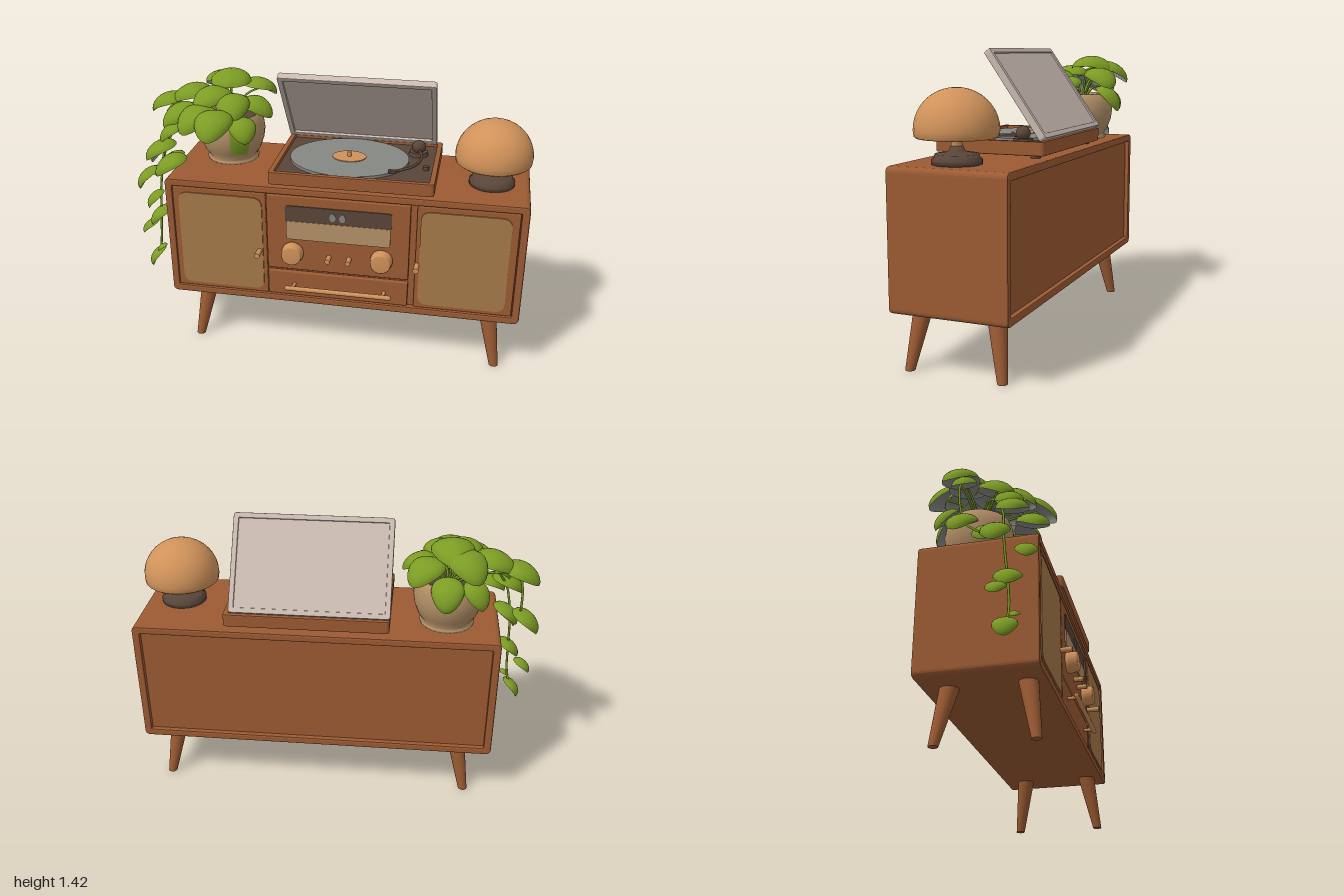
import * as THREE from 'three';
import { RoundedBoxGeometry } from 'three/addons/geometries/RoundedBoxGeometry.js';

const mat = (name, color, side = THREE.FrontSide) => {
  const m = new THREE.MeshStandardMaterial({ color, side });
  m.name = name;
  return m;
};

export function createModel() {
  const wood = mat('walnut', 0x9c5b33);
  const cane = mat('cane', 0xa67a4a);
  const amber = mat('amber', 0xd0925a, THREE.DoubleSide);
  const dark = mat('darkBrown', 0x594539);
  const clay = mat('clay', 0xb59168, THREE.DoubleSide);
  const green = mat('leafGreen', 0x7c9c24);
  const grey = mat('grey', 0x858782);
  const lidMat = mat('lidGrey', 0xcabab1);

  const model = new THREE.Group();
  const add = (name, geo, material, x = 0, y = 0, z = 0, parent = model) => {
    const m = new THREE.Mesh(geo, material);
    m.name = name;
    m.position.set(x, y, z);
    parent.add(m);
    return m;
  };
  const group = (name, x = 0, y = 0, z = 0) => {
    const g = new THREE.Group();
    g.name = name;
    g.position.set(x, y, z);
    model.add(g);
    return g;
  };
  const box = (w, h, d, r = 0.006) => new RoundedBoxGeometry(w, h, d, 2, r);
  const lathe = (pts, n = 32, start = 0, len = Math.PI * 2) =>
    new THREE.LatheGeometry(pts.map(p => new THREE.Vector2(...p)), n, start, len);

  const roundRect = (path, w, h, r) => {
    const x = w / 2, y = h / 2;
    path.moveTo(-x + r, -y);
    path.lineTo(x - r, -y); path.quadraticCurveTo(x, -y, x, -y + r);
    path.lineTo(x, y - r); path.quadraticCurveTo(x, y, x - r, y);
    path.lineTo(-x + r, y); path.quadraticCurveTo(-x, y, -x, y - r);
    path.lineTo(-x, -y + r); path.quadraticCurveTo(-x, -y, -x + r, -y);
    return path;
  };
  // Rounded rectangular ring or plate, centred on its depth
  const plate = (w, h, depth, r, border = 0, bevel = 0) => {
    const s = roundRect(new THREE.Shape(), w - 2 * bevel, h - 2 * bevel, r);
    if (border) s.holes.push(roundRect(new THREE.Path(), w - 2 * border, h - 2 * border, r * 0.7));
    const g = new THREE.ExtrudeGeometry(s, {
      depth: depth - 2 * bevel, bevelEnabled: bevel > 0, bevelSize: bevel,
      bevelThickness: bevel, bevelSegments: 2, curveSegments: 6,
    });
    return g.translate(0, 0, -depth / 2 + bevel);
  };

  // Cabinet shell with a recessed front and back
  const cx = 0.105, cz = -0.022;
  add('cabinetShell', plate(1.79, 0.645, 0.566, 0.02, 0.03, 0.008), wood, cx, 0.602, cz);
  add('cabinetCore', new THREE.BoxGeometry(1.74, 0.6, 0.515), wood, cx, 0.602, cz - 0.002);

  // Speaker doors with cane panels and pulls
  for (const s of [-1, 1]) {
    const x = 0.1 + s * 0.617;
    add('speakerDoor', box(0.485, 0.565, 0.02), wood, x, 0.6, 0.241);
    add('canePanel', plate(0.43, 0.515, 0.006, 0.05), cane, x - 0.008 * s, 0.598, 0.254);
    const pull = add('doorPull', new THREE.CylinderGeometry(0.015, 0.012, 0.07, 14), amber,
      0.086 + s * 0.398, 0.562, 0.28);
    pull.rotation.x = Math.PI / 2;
  }

  // Radio panel
  const rx = 0.086;
  add('radioPanel', box(0.715, 0.41, 0.024), wood, rx, 0.675, 0.242);
  add('radioDisplay', plate(0.53, 0.09, 0.006, 0.015), dark, rx + 0.004, 0.785, 0.256);
  add('tuningStrip', plate(0.52, 0.1, 0.008, 0.012), clay, rx + 0.004, 0.697, 0.257);
  for (const dx of [-0.022, 0.026]) {
    const dot = add('displayMark', new THREE.CylinderGeometry(0.015, 0.015, 0.004, 16), grey, rx + dx, 0.784, 0.26);
    dot.rotation.x = Math.PI / 2;
    dot.scale.z = 1.4;
  }
  for (const s of [-1, 1]) {
    const knob = add('largeKnob', lathe([[0, 0], [0.048, 0], [0.056, 0.008], [0.056, 0.022],
      [0.053, 0.03], [0.05, 0.055], [0.045, 0.06], [0, 0.06]], 28), amber, rx + s * 0.224, 0.575, 0.253);
    knob.rotation.x = Math.PI / 2;
    const small = add('smallKnob', new THREE.CylinderGeometry(0.013, 0.012, 0.055, 14), amber, rx + 0.01 + s * 0.051, 0.56, 0.277);
    small.rotation.x = Math.PI / 2;
  }

  // Drawer and bar handle
  add('drawerFront', box(0.715, 0.135, 0.024), wood, rx, 0.387, 0.242);
  const bar = add('drawerHandle', new THREE.CapsuleGeometry(0.012, 0.52, 4, 12), amber, rx + 0.01, 0.386, 0.302);
  bar.rotation.z = Math.PI / 2;
  for (const s of [-1, 1]) {
    const post = add('handlePost', new THREE.CylinderGeometry(0.009, 0.009, 0.055, 10), amber, rx + 0.01 + s * 0.23, 0.386, 0.277);
    post.rotation.x = Math.PI / 2;
  }

  // Tapered splayed legs
  for (const s of [-1, 1]) for (const f of [-1, 1]) {
    const g = new THREE.CylinderGeometry(0.046, 0.023, 0.29, 20);
    const p = g.attributes.position;
    for (let i = 0; i < p.count; i++) {
      const t = 0.5 - p.getY(i) / 0.29;
      p.setX(i, p.getX(i) + s * (0.73 + 0.054 * t));
      p.setZ(i, p.getZ(i) + f * (0.178 + 0.047 * t));
    }
    g.computeVertexNormals();
    add('leg', g, wood, 0.115, 0.145, -0.007);
  }

  // Record player: plinth, deck, platter, arm
  const deck = group('recordPlayer', 0.146, 0, -0.008);
  const rim = add('plinthRim', plate(0.806, 0.545, 0.065, 0.015, 0.022, 0.005), wood, 0, 0.972, 0, deck);
  rim.rotation.x = -Math.PI / 2;
  add('plinthCore', new THREE.BoxGeometry(0.77, 0.04, 0.51), wood, 0, 0.961, 0, deck);
  add('deckPlate', new THREE.BoxGeometry(0.768, 0.006, 0.508), dark, 0, 0.984, 0, deck);
  for (const s of [-1, 1]) for (const f of [-1, 1])
    add('plinthFoot', new THREE.CylinderGeometry(0.025, 0.025, 0.03, 14), dark, s * 0.34, 0.932, f * 0.21, deck);
  const disc = (name, r, h, m, y) => {
    const d = add(name, new THREE.CylinderGeometry(r, r, h, 48), m, -0.046, y, 0, deck);
    d.scale.z = 0.82;
  };
  disc('record', 0.3, 0.016, grey, 0.993);
  disc('recordLabel', 0.085, 0.004, amber, 1.003);
  disc('spindle', 0.01, 0.03, amber, 1.015);
  add('armPivot', new THREE.CylinderGeometry(0.045, 0.05, 0.02, 20), dark, 0.29, 0.997, -0.127, deck);
  add('armWeight', new THREE.SphereGeometry(0.035, 18, 12), dark, 0.29, 1.03, -0.127, deck);
  const armPath = new THREE.CatmullRomCurve3([[0.29, 1.02, -0.127], [0.315, 1.02, 0],
    [0.28, 1.018, 0.11], [0.2, 1.01, 0.16]].map(p => new THREE.Vector3(...p)));
  add('toneArm', new THREE.TubeGeometry(armPath, 20, 0.007, 8), dark, 0, 0, 0, deck);
  add('armHead', box(0.04, 0.014, 0.025, 0.004), dark, 0.19, 1.01, 0.163, deck);
  add('deckButton', new THREE.CylinderGeometry(0.015, 0.015, 0.02, 14), dark, 0.345, 0.995, 0.06, deck);

  // Raised lid
  const lid = group('lid', 0.13, 1.21, -0.128);
  lid.rotation.x = 0.607;
  add('lidFrame', plate(0.78, 0.488, 0.036, 0.012, 0.022, 0.004), lidMat, 0, 0, 0, lid);
  add('lidPanel', new THREE.BoxGeometry(0.75, 0.46, 0.014), lidMat, 0, 0, -0.003, lid);

  // Table lamp
  const lamp = group('tableLamp', 0.812, 0.924, 0.015);
  add('lampBase', lathe([[0, 0], [0.112, 0], [0.112, 0.022], [0.1, 0.03], [0.096, 0.046], [0.05, 0.052],
    [0.034, 0.062], [0.028, 0.08], [0, 0.08]]), dark, 0, 0, 0, lamp);
  add('lampStem', lathe([[0.026, 0.078], [0.024, 0.1], [0.04, 0.125], [0.04, 0.14], [0, 0.142]], 20), amber, 0, 0, 0, lamp);
  const shade = [[0.1, 0.125], [0.174, 0.114], [0.184, 0.122]];
  for (let i = 0; i <= 10; i++) {
    const a = i / 10 * Math.PI / 2;
    shade.push([0.187 * Math.cos(a), 0.15 + 0.18 * Math.sin(a)]);
  }
  add('lampShade', lathe(shade), amber, 0, 0, 0, lamp);

  // Plant pot and soil
  const pot = group('plantPot', -0.53, 0.924, -0.09);
  const side = [[0.118, 0.02], [0.145, 0.06], [0.163, 0.11], [0.17, 0.16], [0.164, 0.21], [0.15, 0.245]];
  add('potBody', lathe([[0, 0], [0.13, 0], [0.134, 0.016], ...side, [0.138, 0.25], [0.135, 0.21]]), clay, 0, 0, 0, pot);
  add('potPatch', lathe(side.slice(1, 5).map(([r, y]) => [r + 0.002, y]), 8, 0.2, 0.6), green, 0, 0, 0, pot);
  add('soil', new THREE.CylinderGeometry(0.138, 0.138, 0.01, 24), dark, 0, 0.215, 0, pot);

  // Domed leaf, narrowing to the tip, with a grey underside
  const leafTop = new THREE.SphereGeometry(1, 18, 6, 0, Math.PI * 2, 0, Math.PI / 2);
  const lp = leafTop.attributes.position;
  for (let i = 0; i < lp.count; i++) {
    const x = lp.getX(i);
    lp.setXYZ(i, x, lp.getY(i) * 0.5 - 0.15 * x * x, lp.getZ(i) * (0.85 - 0.2 * x));
  }
  leafTop.computeVertexNormals();
  const leafUnder = leafTop.clone();
  leafUnder.setIndex([...leafTop.index.array].reverse());
  leafUnder.computeVertexNormals();
  leafUnder.translate(0, -0.03, 0);

  const plant = group('foliage');
  const leaf = ([x, y, z, size, pitch], from) => {
    const g = new THREE.Group();
    g.name = 'leaf';
    g.position.set(x, y, z);
    g.rotation.set(0, Math.atan2(-(z - from.z), x - from.x), -pitch, 'YZX');
    g.scale.setScalar(size);
    add('leafTop', leafTop, green, 0, 0, 0, g);
    add('leafUnderside', leafUnder, grey, 0, 0, 0, g);
    plant.add(g);
  };
  const heart = new THREE.Vector3(-0.53, 1.13, -0.09);
  // Crown leaves: x, y, z, size, downward pitch
  const crown = [
    [-0.54, 1.32, -0.15, 0.12, 0.1], [-0.61, 1.29, -0.23, 0.11, 0.4], [-0.41, 1.26, -0.24, 0.1, 0.4],
    [-0.74, 1.25, -0.09, 0.11, 0.3], [-0.38, 1.22, -0.05, 0.09, 0.4], [-0.6, 1.27, 0.01, 0.11, 0.2],
    [-0.48, 1.25, 0.05, 0.1, 0.3], [-0.65, 1.2, 0.13, 0.11, 0.4], [-0.54, 1.2, 0.2, 0.11, 0.4],
    [-0.41, 1.16, 0.13, 0.08, 0.6], [-0.76, 1.19, 0.06, 0.1, 0.5], [-0.52, 1.15, -0.25, 0.09, 0.8],
    [-0.66, 1.14, -0.22, 0.08, 0.8],
  ];
  // Trailing leaves over the cabinet's end
  const trail = [
    [-0.87, 1.2, -0.09, 0.1, 0.4], [-0.78, 1.12, 0.12, 0.08, 0.6], [-0.84, 1.03, 0.15, 0.09, 0.5],
    [-0.76, 0.99, 0.23, 0.09, 0.5], [-0.92, 0.93, -0.06, 0.085, 0.7], [-0.94, 0.85, 0.1, 0.08, 0.8],
    [-0.83, 0.92, 0.03, 0.08, 0.7], [-0.86, 0.79, 0.22, 0.06, 0.8], [-0.87, 0.66, 0.14, 0.075, 0.7],
    [-0.95, 0.57, 0.11, 0.055, 0.7], [-0.87, 0.48, 0.17, 0.03, 0.6], [-0.91, 0.41, 0.14, 0.065, 0.95],
  ];
  const stem = (name, pts, r) => add(name, new THREE.TubeGeometry(
    new THREE.CatmullRomCurve3(pts.map(p => new THREE.Vector3(...p))), 16, r, 6), green, 0, 0, 0, plant);
  for (const l of crown) {
    leaf(l, heart);
    stem('stem', [heart.toArray(), [(l[0] + heart.x) / 2, l[1] - 0.02, (l[2] + heart.z) / 2], [l[0], l[1], l[2]]], 0.006);
  }
  for (const l of trail) leaf(l, new THREE.Vector3(-0.6, 0, l[2] * 0.7));
  stem('vine', [heart.toArray(), [-0.7, 1.19, 0], [-0.82, 1.05, 0.1], [-0.86, 0.85, 0.12],
    [-0.87, 0.66, 0.14], [-0.88, 0.5, 0.15], [-0.9, 0.42, 0.14]], 0.006);
  stem('sideVine', [heart.toArray(), [-0.74, 1.2, -0.09], [-0.86, 1.18, -0.09], [-0.89, 0.95, -0.05], [-0.91, 0.85, 0.08]], 0.006);

  return model;
}
